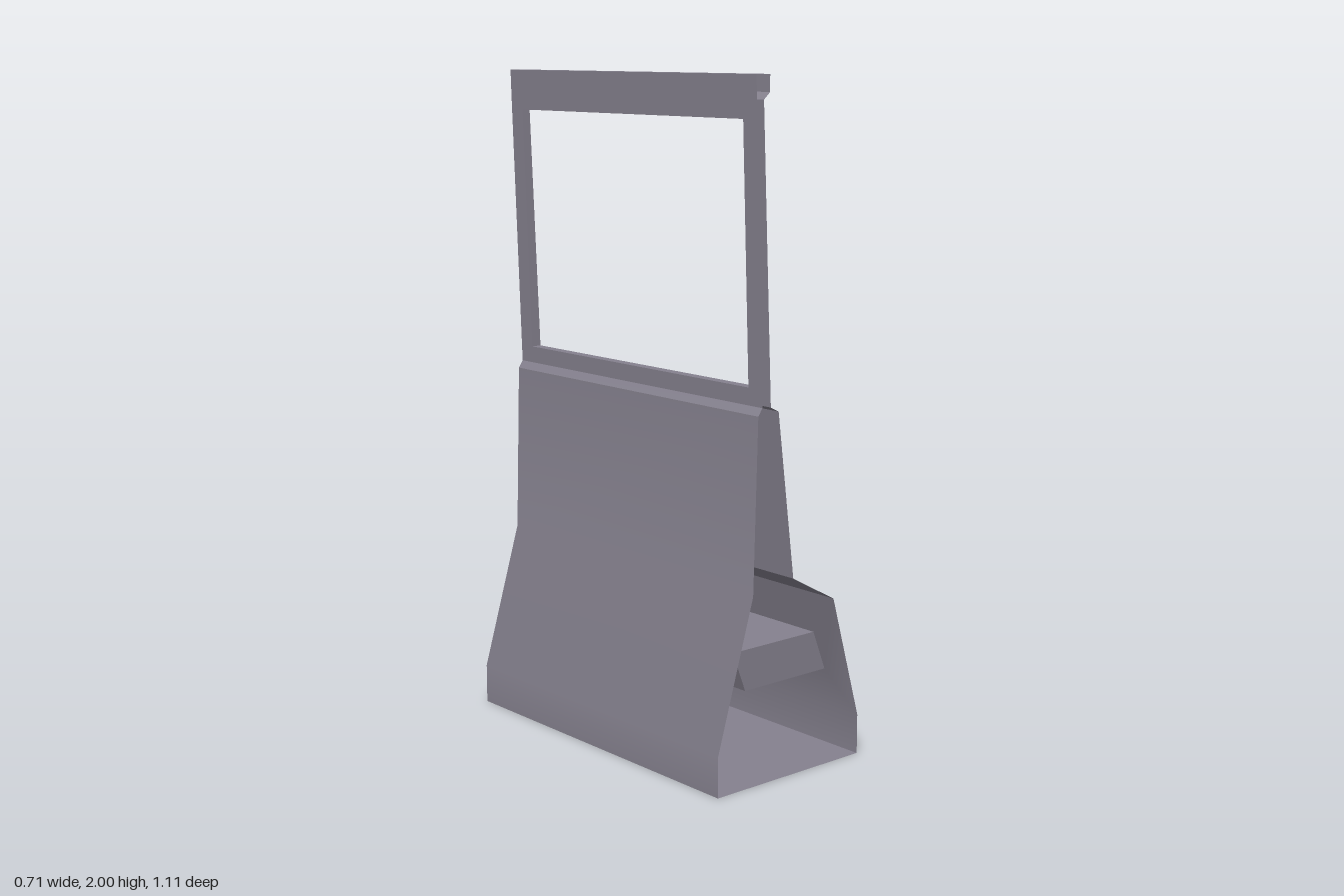
import * as THREE from 'three';

const HALF = 0.555; // half length of the door along z

const material = new THREE.MeshStandardMaterial({ color: 0x85818e, side: THREE.DoubleSide });

// Closed cross-section; each entry starts a sheet that runs to the next entry.
// Holes give the x and y of their lower and upper edge and the half length.
const innerWindow = { lo: [-0.165, 1.143], hi: [-0.195, 1.88], z: 0.5 };
const outerWindow = { lo: [-0.197, 1.143], hi: [-0.222, 1.88], z: 0.5 };
const pocketMouth = { lo: [0.17, 0.242], hi: [0.122, 0.365], z: 0.445 };
const PROFILE = [
  ['lowerSkirtInner', [0.2, 0]],
  ['pocketPanel', [0.2, 0.12], pocketMouth],
  ['armrestTop', [0.093, 0.496]],
  ['innerPanel', [-0.07, 0.585]],
  ['innerSill', [-0.133, 1.075]],
  ['windowFrameInner', [-0.163, 1.09], innerWindow],
  ['topRailLip', [-0.197, 1.932]],
  ['topRailInner', [-0.175, 1.952]],
  ['topRailTop', [-0.175, 2]],
  ['topRailOuter', [-0.225, 2]],
  ['windowFrameOuter', [-0.223, 1.932], outerWindow],
  ['outerSill', [-0.195, 1.092]],
  ['outerPanel', [-0.21, 1.07]],
  ['lowerOuterPanel', [-0.225, 0.56]],
  ['lowerSkirtOuter', [-0.355, 0.12]],
  ['underside', [-0.355, 0]],
];

const entry = (i) => PROFILE[(i + PROFILE.length) % PROFILE.length];

// Outward normal of sheet i
function sheetNormal(i) {
  const p = entry(i)[1], q = entry(i + 1)[1];
  return new THREE.Vector3(q[1] - p[1], p[0] - q[0], 0).normalize();
}

// Normal of sheet i where it meets sheet j, blended over shallow bends only
function edgeNormal(i, j) {
  const a = sheetNormal(i), b = sheetNormal(j);
  return a.angleTo(b) < Math.PI / 9 ? a.add(b).normalize() : a;
}

function rectangle(target, t0, t1, z) {
  return target.moveTo(t0, -z).lineTo(t1, -z).lineTo(t1, z).lineTo(t0, z).closePath();
}

// Sheet i of the shell, swept along z, with its optional opening
function panel(i) {
  const [name, p, hole] = entry(i);
  const q = entry(i + 1)[1];
  const shape = rectangle(new THREE.Shape(), 0, 1, HALF);
  if (hole) {
    const t = (y) => (y - p[1]) / (q[1] - p[1]);
    shape.holes.push(rectangle(new THREE.Path(), t(hole.lo[1]), t(hole.hi[1]), hole.z));
  }
  const geo = new THREE.ShapeGeometry(shape);
  const { position, normal } = geo.attributes;
  const start = edgeNormal(i, i - 1), end = edgeNormal(i, i + 1), flat = sheetNormal(i);
  for (let k = 0; k < position.count; k++) {
    const t = position.getX(k), z = position.getY(k);
    let point = t < 0.5 ? p : q;
    let n = t < 0.5 ? start : end;
    if (Math.abs(z) < HALF - 0.01) {
      const y = p[1] + (q[1] - p[1]) * t;
      point = Math.abs(y - hole.lo[1]) < 0.01 ? hole.lo : hole.hi;
      n = flat;
    }
    position.setXYZ(k, point[0], point[1], z);
    normal.setXYZ(k, n.x, n.y, n.z);
  }
  const mesh = new THREE.Mesh(geo, material);
  mesh.name = name;
  return mesh;
}

// Four walls joining a front opening to a rear one, optionally closed at the rear
function sleeve(name, front, rear, z, closed) {
  const ring = ({ lo, hi }) => [[...lo, -z], [...hi, -z], [...hi, z], [...lo, z]];
  const f = ring(front), r = ring(rear);
  const verts = [];
  const quad = (a, b, c, d) => verts.push(...a, ...b, ...c, ...a, ...c, ...d);
  for (let i = 0; i < 4; i++) {
    const j = (i + 1) % 4;
    quad(f[i], r[i], r[j], f[j]);
  }
  if (closed) quad(r[0], r[1], r[2], r[3]);
  const geo = new THREE.BufferGeometry();
  geo.setAttribute('position', new THREE.Float32BufferAttribute(verts, 3));
  geo.computeVertexNormals();
  const mesh = new THREE.Mesh(geo, material);
  mesh.name = name;
  return mesh;
}

// Flat bar with a rounded tip at the origin, running towards -x
function bar(name, length, radius, thickness) {
  const shape = new THREE.Shape();
  shape.moveTo(-length, -radius).lineTo(0, -radius);
  shape.absarc(0, 0, radius, -Math.PI / 2, Math.PI / 2, false);
  shape.lineTo(-length, radius).closePath();
  const geo = new THREE.ExtrudeGeometry(shape, {
    depth: thickness, bevelEnabled: false, curveSegments: 12,
  });
  geo.translate(0, 0, -thickness / 2).rotateX(-Math.PI / 2);
  const mesh = new THREE.Mesh(geo, material);
  mesh.name = name;
  return mesh;
}

export function createModel() {
  const model = new THREE.Group();
  model.name = 'doorPanel';

  // Outer shell, open at both ends
  PROFILE.forEach((_, i) => model.add(panel(i)));

  // Window reveal between the two frame sheets
  model.add(sleeve('windowReveal', innerWindow, outerWindow, innerWindow.z, false));

  // Storage pocket with a slanted rear wall
  const pocketRear = { lo: [-0.152, 0.242], hi: [-0.2, 0.365] };
  model.add(sleeve('storagePocket', pocketMouth, pocketRear, pocketMouth.z, true));

  // V-shaped lever passing through the pocket
  const lever = new THREE.Group();
  lever.name = 'lever';
  const straight = bar('leverStraightArm', 0.59, 0.037, 0.012);
  straight.position.x = 0.316;
  const diagonal = bar('leverDiagonalArm', 0.588, 0.036, 0.012);
  diagonal.position.x = 0.305;
  diagonal.rotation.y = Math.PI / 4;
  lever.add(straight, diagonal);
  lever.position.y = 0.323;
  model.add(lever);

  return model;
}
